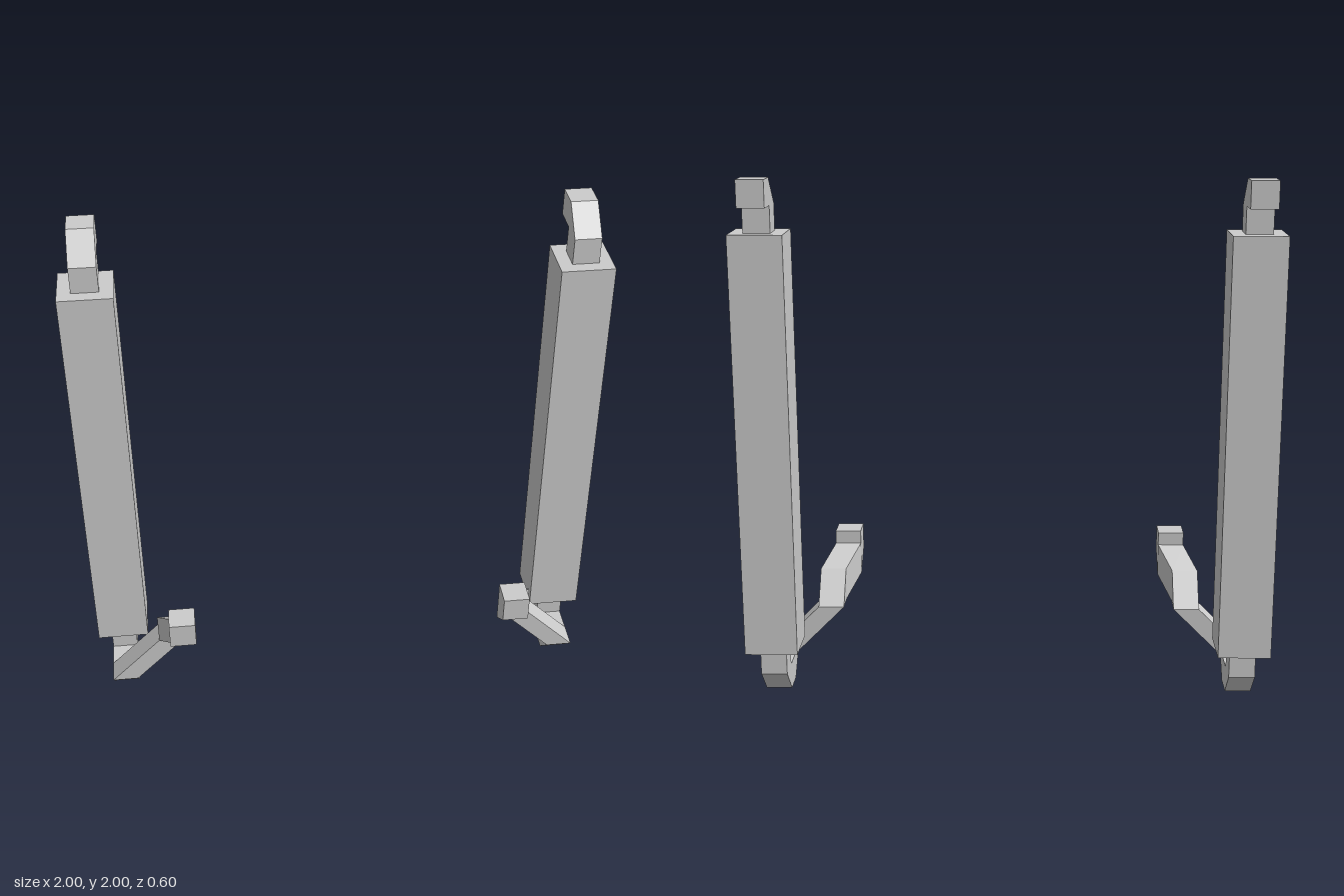
import * as THREE from 'three';

const W = 0.1; // thickness of the bent bars
const material = new THREE.MeshStandardMaterial({ color: 0xcccccc, flatShading: true, side: THREE.DoubleSide });

function addMesh(parent, name, geometry, x, y, z) {
  const mesh = new THREE.Mesh(geometry, material);
  mesh.name = name;
  mesh.position.set(x, y, z);
  parent.add(mesh);
}

// Side outline in (z, y), extruded across x and centred on x = 0
function sideProfile(points) {
  const shape = new THREE.Shape(points.map(([z, y]) => new THREE.Vector2(z, y)));
  const geometry = new THREE.ExtrudeGeometry(shape, { depth: W, bevelEnabled: false });
  return geometry.rotateY(-Math.PI / 2).translate(W / 2, 0, 0);
}

// Loft of four-cornered sections: [centre x, outer z, outer y, inner z, inner y]
function armGeometry(sections, side) {
  const rings = sections.map(([cx, oz, oy, iz, iy]) => {
    const l = side * cx - W / 2, r = side * cx + W / 2;
    return [[l, oy, oz], [r, oy, oz], [r, iy, iz], [l, iy, iz]].map((p) => new THREE.Vector3(...p));
  });
  const points = [];
  const triangle = (a, b, c) => {
    if (new THREE.Triangle(a, b, c).getArea() > 1e-6) points.push(a, b, c);
  };
  const quad = (a, b, c, d) => { triangle(a, b, c); triangle(a, c, d); };
  for (let i = 0; i < rings.length - 1; i++) {
    const p = rings[i], q = rings[i + 1];
    for (let k = 0; k < 4; k++) {
      const n = (k + 1) % 4;
      quad(p[k], p[n], q[n], q[k]);
    }
  }
  quad(...rings[rings.length - 1]); // end cap
  const geometry = new THREE.BufferGeometry().setFromPoints(points);
  geometry.computeVertexNormals();
  return geometry;
}

const topHookOutline = [
  [-0.2, 1.8], [-0.1, 1.8], [-0.1, 1.9], [-0.2, 2], [-0.3, 2], [-0.3, 1.9], [-0.2, 1.9],
];
const bottomBendOutline = [
  [-0.2, 0.2], [-0.2, 0.1], [-0.1, 0], [0, 0], [0.1, 0.1], [-0.1, 0.1], [-0.1, 0.2],
];
const armSections = [
  [0.9, 0.1, 0.1, 0, 0.1],
  [0.7, 0.1, 0.3, 0, 0.3],
  [0.7, 0.1, 0.3, 0.1, 0.425],
  [0.65, 0.2, 0.375, 0.2, 0.5],
  [0.65, 0.2, 0.375, 0.2, 0.55],
  [0.65, 0.3, 0.45, 0.3, 0.55],
];

export function createModel() {
  const model = new THREE.Group();
  model.name = 'hookedPosts';
  for (const side of [1, -1]) {
    const post = new THREE.Group();
    post.name = side > 0 ? 'leftPost' : 'rightPost';
    // Square column with a hook above and a bend leading into the arm below
    addMesh(post, 'column', new THREE.BoxGeometry(0.2, 1.6, 0.2), side * 0.9, 1, -0.15);
    addMesh(post, 'topHook', sideProfile(topHookOutline), side * 0.9, 0, 0);
    addMesh(post, 'bottomBend', sideProfile(bottomBendOutline), side * 0.9, 0, 0);
    addMesh(post, 'arm', armGeometry(armSections, side), 0, 0, 0);
    model.add(post);
  }
  return model;
}
